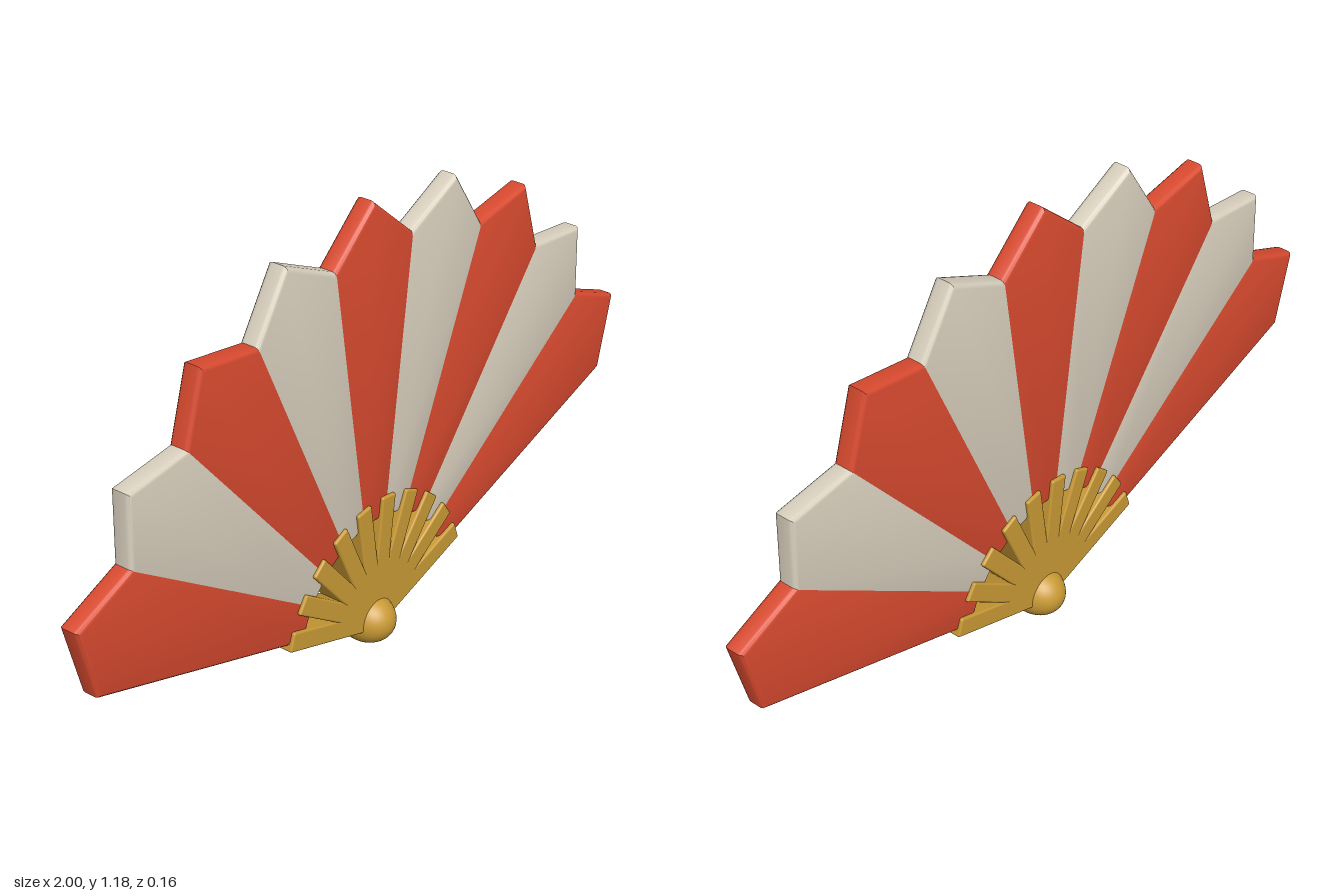
import * as THREE from 'three';
import { toCreasedNormals } from 'three/addons/utils/BufferGeometryUtils.js';
import { RoundedBoxGeometry } from 'three/addons/geometries/RoundedBoxGeometry.js';

const material = (name, color) => {
  const m = new THREE.MeshStandardMaterial({ color });
  m.name = name;
  return m;
};

export function createModel() {
  const red = material('red', 0xd84a2f);
  const cream = material('cream', 0xd8cfbd);
  const gold = material('gold', 0xc99a35);

  const fan = new THREE.Group();
  fan.name = 'foldingFan';
  const pivotY = 0.065;
  const step = THREE.MathUtils.degToRad(16);
  const half = step / 2;

  // One pointed fold, radiating upward from the pivot
  const inner = 0.29, valley = 0.985, tip = 1.096, bevel = 0.012, depth = 0.03;
  const at = (r, a) => new THREE.Vector2(r * Math.sin(a), r * Math.cos(a));
  const outline = new THREE.Shape([
    at(inner, -half), at(inner, half), at(valley, half), at(tip, 0), at(valley, -half),
  ]);
  let foldGeometry = new THREE.ExtrudeGeometry(outline, {
    depth, bevelEnabled: true, bevelThickness: bevel, bevelSize: bevel, bevelSegments: 3,
  });
  foldGeometry.translate(0, 0, -depth / 2);
  foldGeometry = toCreasedNormals(foldGeometry, 0.65);

  // Nine folds in alternating colours
  for (let i = -4; i <= 4; i++) {
    const fold = new THREE.Mesh(foldGeometry, i % 2 === 0 ? red : cream);
    fold.name = 'fold';
    fold.position.y = pivotY;
    fold.rotation.z = -i * step;
    fan.add(fold);
  }

  // Ten ribs, lying along the edges of the folds
  const ribStart = 0.04, ribEnd = 0.335;
  const ribGeometry = new RoundedBoxGeometry(0.05, ribEnd - ribStart, 0.072, 2, 0.005);
  ribGeometry.translate(0, (ribStart + ribEnd) / 2, 0);
  for (let i = 0; i < 10; i++) {
    const rib = new THREE.Mesh(ribGeometry, gold);
    rib.name = 'rib';
    rib.position.y = pivotY;
    rib.rotation.z = (i - 4.5) * step;
    fan.add(rib);
  }

  // Rounded rivet through the pivot
  const rivet = new THREE.Mesh(new THREE.SphereGeometry(1, 32, 20), gold);
  rivet.name = 'rivet';
  rivet.scale.set(0.064, 0.065, 0.08);
  rivet.position.y = pivotY;
  fan.add(rivet);

  return fan;
}
